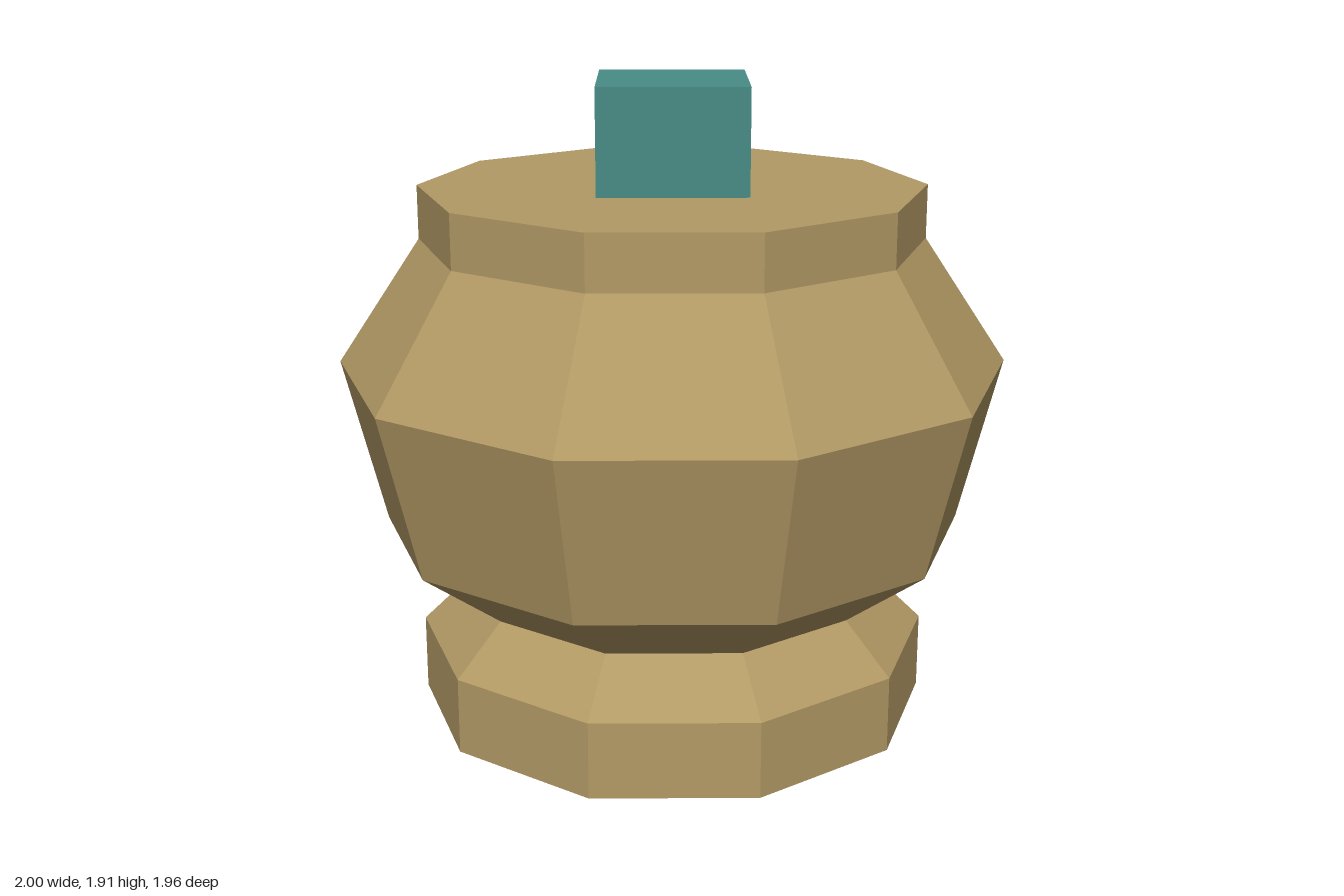
import * as THREE from 'three';

export function createModel() {
  const clay = new THREE.MeshStandardMaterial({ name: 'clay tan', color: 0xb39a65, flatShading: true });
  const teal = new THREE.MeshStandardMaterial({ name: 'teal', color: 0x488c86 });
  const darkTeal = new THREE.MeshStandardMaterial({ name: 'dark teal', color: 0x306266 });

  const model = new THREE.Group();
  model.name = 'lidded jar';

  const add = (name, geometry, material, x, y, z) => {
    const mesh = new THREE.Mesh(geometry, material);
    mesh.name = name;
    mesh.position.set(x, y, z);
    model.add(mesh);
  };

  // Ten-sided body: foot, waist, belly, shoulder and collar, with corners on the x axis
  const profile = [
    [0, 0], [0.775, 0], [0.775, 0.23], [0.625, 0.375], [0.875, 0.565],
    [1, 1.065], [0.75, 1.44], [0.75, 1.6], [0, 1.6],
  ].map(([r, y]) => new THREE.Vector2(r, y));
  add('body', new THREE.LatheGeometry(profile, 10, Math.PI / 2), clay, 0, 0, 0.03);

  // Square knob on top
  add('knob', new THREE.BoxGeometry(0.436, 0.31, 0.436), teal, 0, 1.755, 0.03);

  // Flat plate on the back of the belly
  add('backPlate', new THREE.BoxGeometry(0.775, 0.6, 0.122), darkTeal, 0, 0.94, -0.921);

  return model;
}
